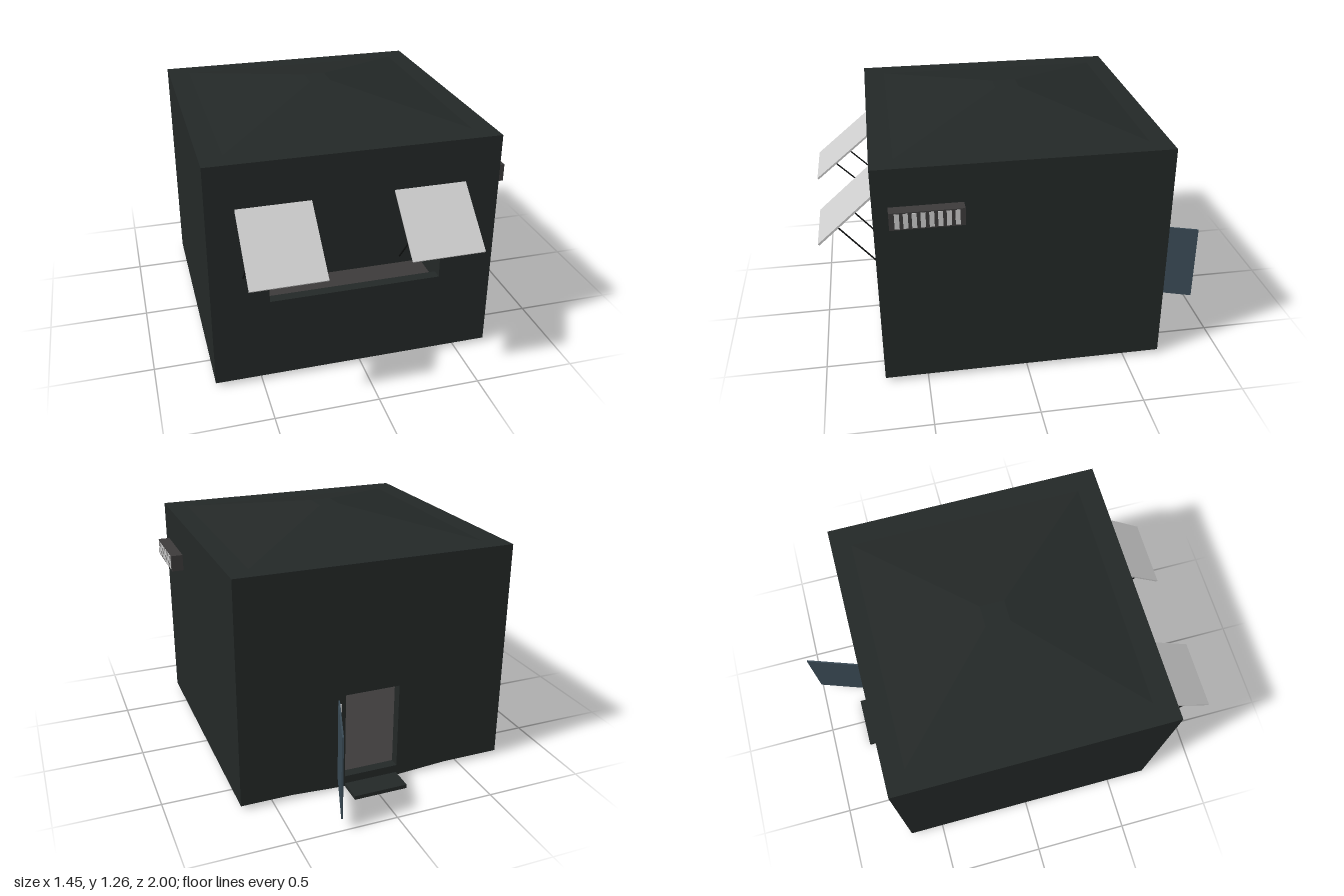
import * as THREE from 'three';
import { ConvexGeometry } from 'three/addons/geometries/ConvexGeometry.js';

const mat = (color) => new THREE.MeshStandardMaterial({ color, flatShading: true, side: THREE.DoubleSide });

export function createModel() {
  const model = new THREE.Group();
  const dark = mat(0x232827), grey = mat(0x3c3a3a), light = mat(0xcccccc), blue = mat(0x384853), black = mat(0x101212);

  const add = (name, geometry, material, parent = model) => {
    const mesh = new THREE.Mesh(geometry, material);
    mesh.name = name;
    parent.add(mesh);
    return mesh;
  };
  // Box given by its two extreme corners
  const box = (name, x0, x1, y0, y1, z0, z1, material, parent) => {
    const mesh = add(name, new THREE.BoxGeometry(x1 - x0, y1 - y0, z1 - z0), material, parent);
    mesh.position.set((x0 + x1) / 2, (y0 + y1) / 2, (z0 + z1) / 2);
    return mesh;
  };
  // Thin round bar between two points
  const rod = (name, a, b, r, material, parent) => {
    const d = b.clone().sub(a);
    const mesh = add(name, new THREE.CylinderGeometry(r, r, d.length(), 6), material, parent);
    mesh.position.copy(a).add(b).multiplyScalar(0.5);
    mesh.quaternion.setFromUnitVectors(new THREE.Vector3(0, 1, 0), d.normalize());
    return mesh;
  };
  const V = (x, y, z) => new THREE.Vector3(x, y, z);

  const X0 = -0.725, X1 = 0.66, Y0 = 0.02, Y1 = 1.15, Z0 = -0.68, Z1 = 0.71, T = 0.05;

  // Front and back walls, each with one rectangular opening
  const wall = (name, z, hx0, hx1, hy0, hy1) => {
    const s = new THREE.Shape([[X0, Y0], [X1, Y0], [X1, Y1], [X0, Y1]].map(p => new THREE.Vector2(...p)));
    s.holes.push(new THREE.Path([[hx0, hy0], [hx0, hy1], [hx1, hy1], [hx1, hy0]].map(p => new THREE.Vector2(...p))));
    add(name, new THREE.ExtrudeGeometry(s, { depth: T, bevelEnabled: false }), dark).position.z = z;
  };
  wall('frontWall', Z1 - T, -0.45, 0.39, 0.435, 0.55);
  wall('backWall', Z0, -0.15, 0.13, 0.06, 0.505);

  // Side walls, ceiling, floor and base
  box('rightWall', X0, X0 + T, Y0, Y1, Z0 + T, Z1 - T, dark);
  box('leftWall', X1 - T, X1, Y0, Y1, Z0 + T, Z1 - T, dark);
  box('ceiling', X0 + T, X1 - T, Y1 - T, Y1, Z0 + T, Z1 - T, dark);
  box('floor', X0 + T, X1 - T, 0.04, 0.055, Z0 + T, Z1 - T, grey);
  box('base', X0 + T, X1 - T, Y0, 0.04, Z0 + T, Z1 - T, dark);

  // Underside sagging slightly toward the doorstep
  add('underside', new ConvexGeometry([
    V(-0.42, Y0, Z0), V(0.4, Y0, Z0), V(-0.42, Y0, 0.6), V(0.4, Y0, 0.6),
    V(-0.15, 0.004, Z0), V(0.13, 0.004, Z0),
  ]), dark);

  // Shallow hipped roof with a small flat top
  const roofPoints = [];
  for (const [x0, x1, y, z0, z1] of [[-0.615, 0.555, Y1, -0.58, 0.6], [-0.085, 0.02, 1.26, -0.06, 0.06]])
    for (const x of [x0, x1]) for (const z of [z0, z1]) roofPoints.push(V(x, y, z));
  add('roof', new ConvexGeometry(roofPoints), dark);

  // Propped shutters above the slot
  const shutter = (name, x0, x1, yEnd, zEnd, strutXs) => {
    const g = new THREE.Group();
    g.name = name;
    model.add(g);
    const dy = yEnd - 0.935, dz = zEnd - Z1;
    const panel = add('panel', new THREE.BoxGeometry(x1 - x0, 0.01, Math.hypot(dy, dz)), light, g);
    panel.position.set((x0 + x1) / 2, 0.935 + dy / 2, Z1 + dz / 2);
    panel.rotation.x = Math.atan2(-dy, dz);
    for (const x of strutXs)
      rod('strut', V(x, 0.585, Z1), V(x, 0.935 + dy * 0.65, Z1 + dz * 0.65), 0.004, black, g);
  };
  shutter('rightShutter', -0.593, -0.246, 0.695, 1.0, [-0.57, -0.257]);
  shutter('leftShutter', 0.144, 0.49, 0.706, 0.97, [0.18, 0.473]);

  // Open door, its hinges and the step
  const door = box('door', 0, 0.34, 0.065, 0.485, -0.004, 0.004, blue);
  door.position.set(0.2225, 0.275, -0.84);
  door.rotation.y = Math.atan2(0.32, 0.115);
  for (const y of [0.13, 0.275, 0.42])
    rod('hinge', V(0.16, y - 0.045, Z0 - 0.006), V(0.16, y + 0.045, Z0 - 0.006), 0.006, light);
  box('doorstep', -0.148, 0.128, 0, 0.02, -0.8, Z0, dark);

  // Side vent with a row of pale slats
  const vent = new THREE.Group();
  vent.name = 'sideVent';
  model.add(vent);
  box('ventBox', X1, 0.72, 0.88, 0.965, 0.3, 0.64, grey, vent);
  for (let i = 0; i < 8; i++) {
    const z = 0.335 + i * 0.0385;
    box('slat', 0.71, 0.722, 0.886, 0.96, z - 0.011, z + 0.011, light, vent);
  }
  return model;
}
